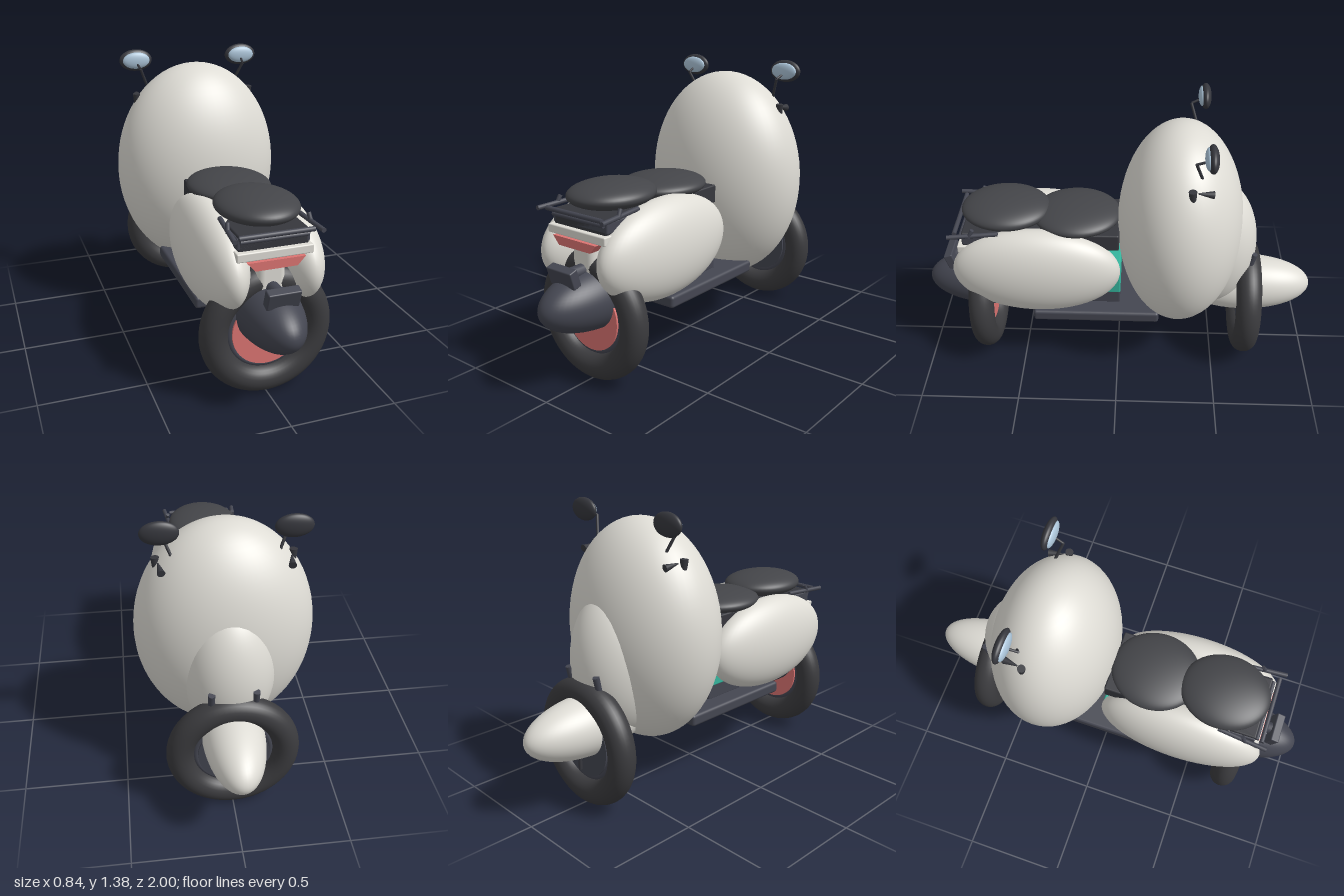
import * as THREE from 'three';
import { RoundedBoxGeometry } from 'three/addons/geometries/RoundedBoxGeometry.js';

const mat = (color) => new THREE.MeshStandardMaterial({ color });

export function createModel() {
  const root = new THREE.Group();
  const cream = mat(0xdedcd5), slate = mat(0x444651), dark = mat(0x36373d), rubber = mat(0x3b3b3e);
  const vinyl = mat(0x444549), red = mat(0xdb7472), teal = mat(0x35b59d), glass = mat(0xacc5d9);

  const add = (name, geometry, material, x = 0, y = 0, z = 0) => {
    const mesh = new THREE.Mesh(geometry, material);
    mesh.name = name;
    mesh.position.set(x, y, z);
    root.add(mesh);
    return mesh;
  };
  const ball = (name, material, c, r) => {
    const mesh = add(name, new THREE.SphereGeometry(1, 56, 36), material, ...c);
    mesh.scale.set(...r);
    return mesh;
  };
  const box = (name, material, c, s, r = 0.008) =>
    add(name, new RoundedBoxGeometry(...s, 3, r), material, ...c);
  // Rod between two points, optionally tapered
  const rod = (name, material, a, b, r, r2 = r) => {
    const from = new THREE.Vector3(...a), dir = new THREE.Vector3(...b).sub(from);
    const mesh = add(name, new THREE.CylinderGeometry(r2, r, dir.length(), 16), material);
    mesh.position.copy(from).addScaledVector(dir, 0.5);
    mesh.quaternion.setFromUnitVectors(new THREE.Vector3(0, 1, 0), dir.normalize());
    return mesh;
  };

  // Egg-shaped leg shield with its raised nose
  ball('legShield', cream, [0, 0.78, -0.305], [0.42, 0.54, 0.31]);
  ball('noseFairing', cream, [0, 0.66, -0.47], [0.22, 0.36, 0.226]);

  // Mudguards
  ball('frontMudguard', cream, [0, 0.397, -0.65], [0.145, 0.145, 0.35]);
  ball('rearMudguard', slate, [0, 0.4, 0.65], [0.15, 0.15, 0.35]);

  // Wheels, with axles along z
  for (const [name, z, hub] of [['front', -0.665, slate], ['rear', 0.695, red]]) {
    add(name + 'Tyre', new THREE.TorusGeometry(0.246, 0.064, 28, 72), rubber, 0, 0.31, z);
    add(name + 'Rim', new THREE.TorusGeometry(0.172, 0.017, 16, 56), slate, 0, 0.31, z);
    add(name + 'Hub', new THREE.CylinderGeometry(0.165, 0.165, 0.05, 48), hub, 0, 0.31, z)
      .rotation.x = Math.PI / 2;
  }
  rod('frontStrut', slate, [0, 0.235, -0.545], [0, 0.3, -0.61], 0.013);
  rod('valve', dark, [0.02, 0.17, -0.7], [0.02, 0.23, -0.7], 0.009);

  // Footboard and central body
  box('footboard', slate, [0, 0.335, 0.11], [0.48, 0.06, 0.64], 0.015);
  box('bodyBase', slate, [0, 0.4, 0.2], [0.3, 0.08, 0.42]);
  box('bodyFrontPanel', teal, [0, 0.51, 0.15], [0.32, 0.15, 0.325]);
  box('bodyCore', cream, [0, 0.58, 0.42], [0.13, 0.3, 0.68], 0.03);
  box('tailPanel', cream, [0, 0.71, 0.62], [0.35, 0.04, 0.34], 0.006);
  box('seatBase', dark, [0, 0.755, 0.38], [0.32, 0.09, 0.77]);
  box('tailBlock', slate, [0, 0.762, 0.7], [0.335, 0.055, 0.13]);

  // Seats
  ball('frontSeat', vinyl, [0, 0.826, 0.21], [0.2, 0.056, 0.22]);
  ball('rearSeat', vinyl, [0, 0.852, 0.56], [0.188, 0.063, 0.22]);

  // Tail light, tapering downward
  const lens = new THREE.Shape([[-0.132, 0.02], [-0.096, -0.02], [0.096, -0.02], [0.132, 0.02]]
    .map(([x, y]) => new THREE.Vector2(x, y)));
  add('tailLight', new THREE.ExtrudeGeometry(lens, { depth: 0.05, bevelEnabled: false }),
    red, 0, 0.668, 0.75);

  // Number plate holder
  box('plateHolder', slate, [0, 0.543, 0.866], [0.15, 0.085, 0.045], 0.006).rotation.x = 0.3;
  rod('plateBracket', slate, [0, 0.54, 0.72], [0, 0.54, 0.86], 0.03);

  // Rear rack
  rod('rackCrossbar', slate, [-0.17, 0.803, 0.795], [0.17, 0.803, 0.795], 0.011);
  rod('rackInnerBar', slate, [-0.155, 0.775, 0.772], [0.155, 0.775, 0.772], 0.01);

  for (const s of [-1, 1]) {
    const side = s > 0 ? 'left' : 'right';
    // Rounded side panel
    ball(side + 'SidePanel', cream, [s * 0.175, 0.592, 0.405], [0.135, 0.238, 0.417]);
    // Rack rail
    rod(side + 'RackRail', slate, [s * 0.175, 0.812, 0.58], [s * 0.198, 0.803, 0.825], 0.011);
    rod(side + 'RackPost', slate, [s * 0.19, 0.8, 0.72], [s * 0.185, 0.84, 0.7], 0.01);
    // Fork leg
    rod(side + 'ForkLeg', slate, [s * 0.1, 0.35, -0.61], [s * 0.1, 0.66, -0.68], 0.016);
    // Mirror with its glass and stem
    ball(side + 'MirrorShell', dark, [s * 0.287, 1.33, -0.413], [0.085, 0.055, 0.027]);
    ball(side + 'MirrorGlass', glass, [s * 0.287, 1.33, -0.397], [0.07, 0.042, 0.019]);
    rod(side + 'MirrorStem', dark, [s * 0.235, 1.19, -0.38], [s * 0.278, 1.295, -0.345], 0.007);
    rod(side + 'MirrorJoint', dark, [s * 0.278, 1.295, -0.345], [s * 0.287, 1.32, -0.405], 0.006);
    // Handlebar grip and lever
    rod(side + 'Grip', dark, [s * 0.305, 1.115, -0.338], [s * 0.307, 1.172, -0.334], 0.014, 0.019);
    rod(side + 'Lever', dark, [s * 0.295, 1.155, -0.36], [s * 0.285, 1.143, -0.43], 0.003, 0.018);
  }
  return root;
}
